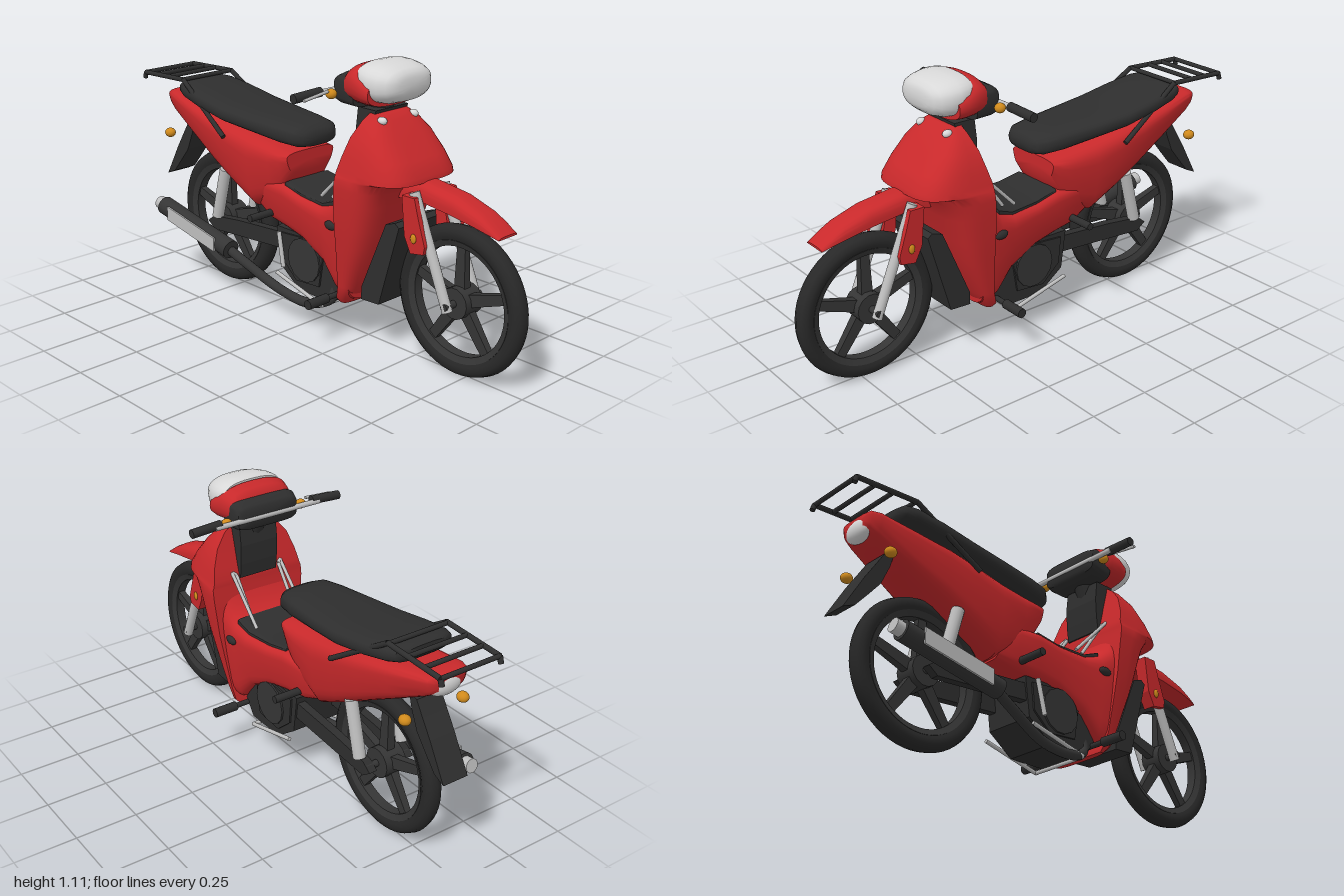
import * as THREE from 'three';
import { toCreasedNormals } from 'three/addons/utils/BufferGeometryUtils.js';

const material = (name, color) => new THREE.MeshStandardMaterial({ name, color });
const RED = material('red paint', 0xc9292b);
const BLACK = material('black plastic', 0x2e2e2e);
const TYRE = material('tyre rubber', 0x282828);
const DARK = material('dark metal', 0x353535);
const SILVER = material('silver metal', 0xbebebe);
const LENS = material('clear lens', 0xd8d8d8);
const ORANGE = material('orange lens', 0xd08a1c);

const V = (x, y, z) => new THREE.Vector3(x, y, z);
const pow = (v, e) => Math.sign(v) * Math.abs(v) ** e;

export function createModel() {
  const root = new THREE.Group();
  root.name = 'motorbike';

  const add = (name, geo, mat, parent = root) => {
    const m = new THREE.Mesh(geo, mat);
    m.name = name;
    parent.add(m);
    return m;
  };
  const both = (fn) => [-1, 1].forEach(fn);

  // Closed skin over equal-sized rings, capped at both ends
  const loft = (rings, crease = 0.8) => {
    const n = rings[0].length, pos = [], idx = [];
    rings.flat().forEach((p) => pos.push(p.x, p.y, p.z));
    for (let i = 0; i < rings.length - 1; i++) {
      for (let j = 0; j < n; j++) {
        const a = i * n + j, b = i * n + (j + 1) % n;
        idx.push(a, b, a + n, b, b + n, a + n);
      }
    }
    [0, rings.length - 1].forEach((r, end) => {
      const c = rings[r].reduce((s, p) => s.add(p), V(0, 0, 0)).divideScalar(n);
      const k = pos.length / 3;
      pos.push(c.x, c.y, c.z);
      for (let j = 0; j < n; j++) {
        const a = r * n + j, b = r * n + (j + 1) % n;
        end ? idx.push(a, b, k) : idx.push(b, a, k);
      }
    });
    // Turn the faces outward
    const at = (i) => V(pos[3 * i], pos[3 * i + 1], pos[3 * i + 2]);
    let volume = 0;
    for (let i = 0; i < idx.length; i += 3) volume += at(idx[i]).dot(at(idx[i + 1]).cross(at(idx[i + 2])));
    if (volume < 0) idx.reverse();
    const g = new THREE.BufferGeometry();
    g.setAttribute('position', new THREE.Float32BufferAttribute(pos, 3));
    g.setIndex(idx);
    return toCreasedNormals(g, crease);
  };

  // Rounded section at z: half width, top, bottom; "taper" narrows the underside
  const section = (e, taper = 1) => ([z, w, top, bot]) => Array.from({ length: 32 }, (_, i) => {
    const t = (i / 32) * Math.PI * 2, s = pow(Math.sin(t), 2 / e);
    const k = THREE.MathUtils.lerp(taper, 1, (s + 1) / 2);
    return V(w * k * pow(Math.cos(t), 2 / e), (top + bot) / 2 + s * (top - bot) / 2, z);
  });
  // D-shaped outline: half width, tip and flat base
  const dShape = (w, tip, base, e) => Array.from({ length: 25 }, (_, i) => {
    const t = (i / 24) * Math.PI;
    return [w * pow(Math.cos(t), 2 / e), base + (tip - base) * pow(Math.sin(t), 2 / e)];
  });
  // Side outline in [z, y] extruded across the bike
  const slab = (name, pts, width, mat, x = 0) => {
    const g = new THREE.ExtrudeGeometry(new THREE.Shape(pts.map((p) => new THREE.Vector2(...p))),
      { depth: width, bevelEnabled: false });
    g.translate(0, 0, -width / 2).rotateY(-Math.PI / 2).translate(x, 0, 0);
    return add(name, g, mat);
  };
  const bar = (name, a, b, r, mat, parent = root) => {
    const m = add(name, new THREE.CylinderGeometry(r, r, a.distanceTo(b), 14), mat, parent);
    m.position.copy(a).lerp(b, 0.5);
    m.quaternion.setFromUnitVectors(V(0, 1, 0), b.clone().sub(a).normalize());
    return m;
  };
  const path = (name, pts, r, mat) => pts.slice(1).forEach((p, i) => bar(name, pts[i], p, r, mat));
  const blob = (name, p, rx, ry, rz, mat) => {
    const m = add(name, new THREE.SphereGeometry(1, 28, 18), mat);
    m.position.copy(p);
    m.scale.set(rx, ry, rz);
    return m;
  };

  // Wheels with five tapered spokes
  const lathe = (pts) => toCreasedNormals(
    new THREE.LatheGeometry(pts.map((p) => new THREE.Vector2(...p)), 56).rotateZ(Math.PI / 2), 0.7);
  const wheel = (name, z) => {
    const g = new THREE.Group();
    g.name = name;
    g.position.set(0, 0.292, z);
    root.add(g);
    add('tyre', lathe([[0.228, -0.026], [0.245, -0.034], [0.265, -0.034], [0.281, -0.023], [0.288, 0],
      [0.281, 0.023], [0.265, 0.034], [0.245, 0.034], [0.228, 0.026], [0.228, -0.026]]), TYRE, g);
    add('rim', lathe([[0.208, -0.02], [0.232, -0.03], [0.232, 0.03], [0.208, 0.02], [0.208, -0.02]]), DARK, g);
    bar('hub', V(-0.045, 0, 0), V(0.045, 0, 0), 0.06, DARK, g);
    bar('axle', V(-0.1, 0, 0), V(0.1, 0, 0), 0.014, DARK, g);
    for (let i = 0; i < 5; i++) {
      const spoke = new THREE.CylinderGeometry(0.026, 0.034, 0.18, 4, 1, false, Math.PI / 4)
        .scale(0.7, 1, 1).translate(0, 0.13, 0);
      add('spoke', toCreasedNormals(spoke, 0.5), DARK, g).rotation.x = (i / 5) * Math.PI * 2;
    }
  };
  wheel('frontWheel', 0.712);
  wheel('rearWheel', -0.578);

  // Front fender: z, top, edge, half width
  add('frontFender', loft([[0.905, 0.592, 0.583, 0.05], [0.86, 0.625, 0.595, 0.056], [0.81, 0.653, 0.607, 0.06],
    [0.7, 0.69, 0.626, 0.062], [0.54, 0.712, 0.645, 0.062], [0.44, 0.7, 0.63, 0.058]]
    .map(([z, top, edge, w]) => dShape(w, top, edge, 3).map(([x, y]) => V(x, y, z)))), RED);

  // Fork legs, covers and reflectors
  both((s) => {
    bar('forkLeg', V(s * 0.081, 0.68, 0.545), V(s * 0.081, 0.27, 0.715), 0.02, SILVER);
    slab('forkCover', [[0.575, 0.67], [0.595, 0.6], [0.628, 0.5], [0.622, 0.47], [0.56, 0.46], [0.53, 0.52], [0.515, 0.67]],
      0.02, RED, s * 0.104);
    slab('forkCoverBack', [[0.54, 0.67], [0.575, 0.57], [0.595, 0.48], [0.56, 0.46], [0.53, 0.52], [0.515, 0.67]],
      0.04, RED, s * 0.08);
    blob('forkReflector', V(s * 0.115, 0.52, 0.575), 0.007, 0.018, 0.013, ORANGE);
  });

  // Leg shield: y, half width, front, back
  add('legShield', loft([[0.93, 0.085, 0.37, 0.325], [0.905, 0.12, 0.4, 0.32], [0.85, 0.164, 0.45, 0.305],
    [0.78, 0.19, 0.51, 0.288], [0.725, 0.202, 0.55, 0.272], [0.705, 0.207, 0.552, 0.27], [0.697, 0.211, 0.49, 0.27],
    [0.66, 0.211, 0.46, 0.265], [0.6, 0.206, 0.435, 0.26], [0.5, 0.196, 0.402, 0.255], [0.42, 0.183, 0.375, 0.25],
    [0.25, 0.157, 0.305, 0.235], [0.195, 0.148, 0.27, 0.22], [0.17, 0.125, 0.25, 0.22]]
    .map(([y, w, tip, base]) => dShape(w, tip, base, 3.8).map(([x, z]) => V(x, y, z)))), RED);
  slab('wheelGuard', [[0.505, 0.54], [0.485, 0.555], [0.44, 0.54], [0.32, 0.26], [0.32, 0.21], [0.41, 0.215]], 0.23, BLACK);
  slab('neckPanel', [[0.355, 0.942], [0.265, 0.942], [0.255, 0.86], [0.258, 0.78], [0.265, 0.72], [0.31, 0.72]], 0.17, BLACK);
  bar('steeringStem', V(0, 0.9, 0.31), V(0, 0.99, 0.28), 0.05, BLACK);
  both((s) => blob('shieldClip', V(s * 0.083, 0.91, 0.385), 0.016, 0.015, 0.02, LENS));

  // Central body and floor mat
  const body = [[0.28, 0.19, 0.69, 0.19], [0.25, 0.187, 0.62, 0.18], [0.2, 0.18, 0.575, 0.205], [0.13, 0.17, 0.548, 0.29],
    [0, 0.156, 0.552, 0.355], [-0.1, 0.148, 0.572, 0.375], [-0.2, 0.14, 0.57, 0.39], [-0.28, 0.11, 0.52, 0.42]];
  add('centreBody', loft(body.map(section(5, 0.8))), RED);
  add('floorMat', loft(body.slice(2, 6).map(([z, w, top]) => [z, w * 0.8, top + 0.006, top - 0.02]).map(section(6))), BLACK);
  both((s) => {
    blob('bodyVent', V(s * 0.17, 0.49, 0.21), 0.014, 0.018, 0.03, BLACK);
    path('legGuardBar', [V(s * 0.115, 0.57, 0.105), V(s * 0.115, 0.745, 0.28), V(s * 0.1, 0.735, 0.27), V(s * 0.1, 0.57, 0.15)],
      0.007, SILVER);
  });

  // Tail and seat
  add('tailBody', loft([[-0.08, 0.135, 0.695, 0.61], [-0.12, 0.146, 0.702, 0.54], [-0.18, 0.152, 0.708, 0.475],
    [-0.3, 0.158, 0.725, 0.418], [-0.42, 0.16, 0.745, 0.48], [-0.55, 0.154, 0.768, 0.553], [-0.7, 0.132, 0.79, 0.635],
    [-0.84, 0.108, 0.812, 0.712], [-0.875, 0.095, 0.81, 0.735], [-0.888, 0.075, 0.8, 0.75]].map(section(4, 0.78))), RED);
  add('seat', loft([[-0.018, 0.06, 0.77, 0.735], [-0.03, 0.09, 0.788, 0.72], [-0.06, 0.115, 0.802, 0.714],
    [-0.14, 0.13, 0.81, 0.717], [-0.3, 0.146, 0.819, 0.735], [-0.45, 0.155, 0.832, 0.748], [-0.6, 0.153, 0.857, 0.775],
    [-0.71, 0.14, 0.874, 0.798], [-0.75, 0.124, 0.876, 0.81], [-0.765, 0.09, 0.866, 0.825]].map(section(3))), BLACK);
  blob('tailLight', V(0, 0.76, -0.862), 0.075, 0.045, 0.034, LENS);
  slab('mudFlap', [[-0.75, 0.685], [-0.79, 0.675], [-0.825, 0.62], [-0.87, 0.55], [-0.95, 0.41], [-0.9, 0.432], [-0.85, 0.49],
    [-0.8, 0.55], [-0.765, 0.63]], 0.11, BLACK);

  // Luggage rack
  both((s) => path('rackRail', [V(s * 0.155, 0.7, -0.43), V(s * 0.13, 0.885, -0.715), V(s * 0.128, 0.875, -0.98),
    V(s * 0.128, 0.85, -0.988)], 0.01, BLACK));
  [[-0.72, 0.885], [-0.82, 0.882], [-0.9, 0.878], [-0.98, 0.875]].forEach(([z, y]) =>
    bar('rackBar', V(-0.13, y, z), V(0.13, y, z), 0.009, BLACK));

  // Headlight unit
  add('headlightShell', loft([[0.375, 0.15, 1.06, 0.956], [0.34, 0.157, 1.085, 0.952], [0.29, 0.153, 1.11, 0.952],
    [0.25, 0.142, 1.098, 0.957], [0.228, 0.128, 1.075, 0.97]].map(section(2.6))), RED);
  add('headlightLens', loft([[0.458, 0.07, 1.068, 1.012], [0.45, 0.1, 1.088, 0.995], [0.432, 0.122, 1.1, 0.98],
    [0.4, 0.138, 1.11, 0.969], [0.36, 0.145, 1.117, 0.966], [0.325, 0.144, 1.118, 0.98], [0.298, 0.13, 1.114, 1.0]]
    .map(section(2.6)), 1), LENS);
  add('instrumentCover', loft([[0.29, 0.138, 1.06, 0.945], [0.22, 0.142, 1.07, 0.948], [0.19, 0.135, 1.055, 0.956],
    [0.182, 0.12, 1.045, 0.97]].map(section(5))), BLACK);

  // Handlebar, grips, lever and indicators
  bar('handlebar', V(-0.24, 1, 0.188), V(0.24, 1, 0.188), 0.011, SILVER);
  both((s) => {
    bar('grip', V(s * 0.21, 1.006, 0.198), V(s * 0.34, 1.0, 0.195), 0.018, BLACK);
    blob('frontIndicator', V(s * 0.172, 0.995, 0.215), 0.021, 0.019, 0.021, ORANGE);
    blob('rearIndicator', V(s * 0.13, 0.637, -0.82), 0.022, 0.02, 0.024, ORANGE);
  });
  bar('brakeLever', V(-0.2, 1.01, 0.225), V(-0.325, 0.998, 0.235), 0.006, SILVER);

  // Engine with pedals and kick starter
  slab('engineBlock', [[0.2, 0.21], [0.12, 0.32], [-0.02, 0.38], [-0.16, 0.38], [-0.14, 0.22], [-0.03, 0.14], [0.15, 0.14]], 0.22, BLACK);
  bar('engineCover', V(-0.125, 0.28, 0.01), V(0.125, 0.28, 0.01), 0.09, DARK);
  slab('sideCasing', [[0.11, 0.31], [0, 0.37], [-0.13, 0.36], [-0.12, 0.25], [-0.04, 0.18], [0.09, 0.19]], 0.235, BLACK);
  path('footPedals', [V(-0.13, 0.19, -0.14), V(-0.13, 0.124, 0.12), V(0.13, 0.124, 0.12), V(0.13, 0.19, -0.14)], 0.008, SILVER);
  bar('kickStarter', V(-0.135, 0.37, -0.12), V(-0.14, 0.23, -0.09), 0.009, SILVER);

  // Foot pegs
  bar('pegBar', V(-0.2, 0.19, 0.19), V(0.2, 0.19, 0.19), 0.011, BLACK);
  both((s) => {
    bar('frontPeg', V(s * 0.17, 0.19, 0.19), V(s * 0.27, 0.19, 0.19), 0.019, BLACK);
    bar('rearPeg', V(s * 0.1, 0.43, -0.185), V(s * 0.23, 0.43, -0.185), 0.015, BLACK);
  });

  // Swing arm and rear shocks
  both((s) => {
    slab('swingArm', [[-0.13, 0.355], [-0.14, 0.285], [-0.57, 0.255], [-0.61, 0.285], [-0.57, 0.315], [-0.4, 0.335]], 0.035, BLACK, s * 0.085);
    bar('rearShock', V(s * 0.1, 0.54, -0.487), V(s * 0.1, 0.32, -0.545), 0.025, SILVER);
  });

  // Exhaust on the right
  const pipe = new THREE.CatmullRomCurve3([V(-0.08, 0.27, 0.15), V(-0.1, 0.16, 0.15), V(-0.13, 0.115, 0.05),
    V(-0.14, 0.125, -0.1), V(-0.17, 0.2, -0.29), V(-0.185, 0.24, -0.38)]);
  add('exhaustPipe', new THREE.TubeGeometry(pipe, 40, 0.02, 12), DARK);
  bar('muffler', V(-0.187, 0.24, -0.36), V(-0.187, 0.325, -0.8), 0.04, DARK);
  bar('mufflerTip', V(-0.187, 0.325, -0.8), V(-0.187, 0.332, -0.835), 0.028, SILVER);
  slab('heatShield', [[-0.42, 0.225], [-0.42, 0.285], [-0.73, 0.345], [-0.73, 0.285]], 0.008, SILVER, -0.226);

  return root;
}
